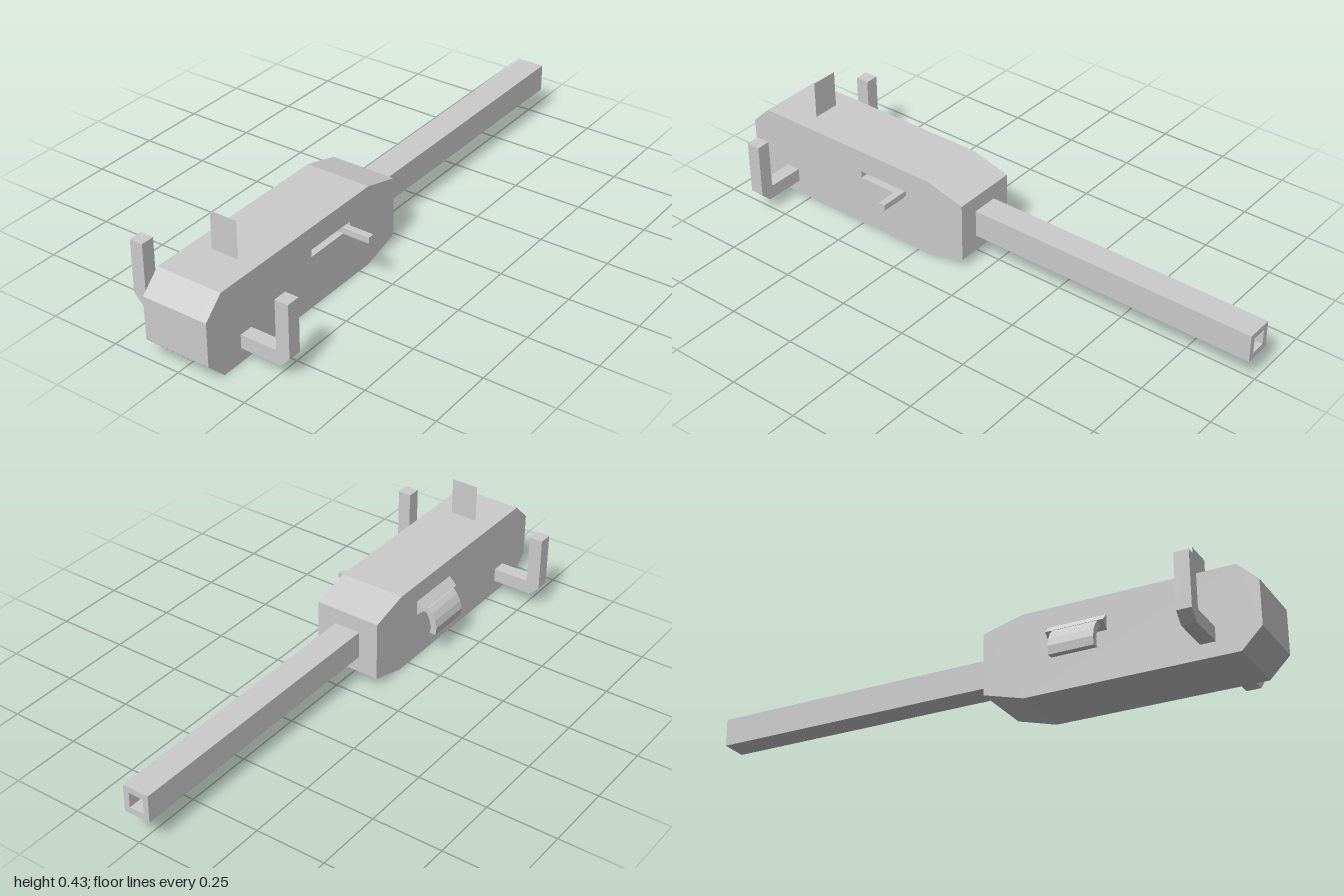
import * as THREE from 'three';

const material = new THREE.MeshStandardMaterial({ color: 0xcccccc, flatShading: true });
const sheet = new THREE.MeshStandardMaterial({ color: 0xcccccc, flatShading: true, side: THREE.DoubleSide });

const outline = (points) => new THREE.Shape(points.map(([x, y]) => new THREE.Vector2(x, y)));
const rect = (x0, x1, y0, y1) => outline([[x0, y0], [x1, y0], [x1, y1], [x0, y1]]);

// Outline in x, y pushed from z0 to z1
function extrudeZ(shape, z0, z1) {
  const geometry = new THREE.ExtrudeGeometry(shape, { depth: z1 - z0, bevelEnabled: false });
  return geometry.translate(0, 0, z0);
}

// Outline in -z, y pushed from x0 to x1
function extrudeX(shape, x0, x1) {
  return extrudeZ(shape, x0, x1).rotateY(Math.PI / 2);
}

export function createModel() {
  const model = new THREE.Group();
  const add = (name, geometry, mat = material) => {
    const mesh = new THREE.Mesh(geometry, mat);
    mesh.name = name;
    model.add(mesh);
    return mesh;
  };

  // Body with chamfered ends; the left wall carries a long slot
  const side = () => outline([
    [-1, 0.07], [-0.93, 0], [-0.2, 0], [-0.06, 0.04],
    [-0.06, 0.255], [-0.2, 0.293], [-0.93, 0.293], [-1, 0.225],
  ]);
  add('body', extrudeX(side(), -0.12, 0.09));
  const slotted = side();
  slotted.holes.push(rect(-0.5, -0.3, 0.187, 0.213));
  add('slottedWall', extrudeX(slotted, 0.09, 0.12));

  // Square tube with a hollow bore
  const tube = rect(-0.048, 0.048, 0.1, 0.198);
  tube.holes.push(rect(-0.027, 0.027, 0.122, 0.177));
  add('barrel', extrudeZ(tube, -1, 0.06));

  // Thin upright plate on top
  add('topPlate', new THREE.PlaneGeometry(0.1, 0.134).translate(0, 0.36, 0.765), sheet);

  // Handle sliding in the slot
  add('slotHandle', extrudeZ(rect(0.08, 0.218, 0.185, 0.207), 0.31, 0.335));

  // Upturned arms on both sides
  for (const [name, s] of [['leftArm', 1], ['rightArm', -1]]) {
    const arm = outline([
      [0.11, 0.05], [0.268, 0.05], [0.302, 0.085], [0.302, 0.278], [0.253, 0.278],
      [0.253, 0.104], [0.249, 0.099], [0.11, 0.099],
    ].map(([x, y]) => [s * x, y]));
    add(name, extrudeZ(arm, 0.8, 0.85));
  }

  // Wedge hood and curved flap on the right wall
  add('sideHood', extrudeZ(outline([[-0.11, 0.235], [-0.148, 0.197], [-0.11, 0.162]]), 0.295, 0.495));
  const flap = outline([
    [-0.12, 0.205], [-0.15, 0.195], [-0.165, 0.179], [-0.178, 0.155], [-0.185, 0.128], [-0.181, 0.099],
    [-0.158, 0.099], [-0.162, 0.125], [-0.156, 0.15], [-0.144, 0.173], [-0.12, 0.183],
  ]);
  add('curvedFlap', extrudeZ(flap, 0.32, 0.477));

  return model;
}
